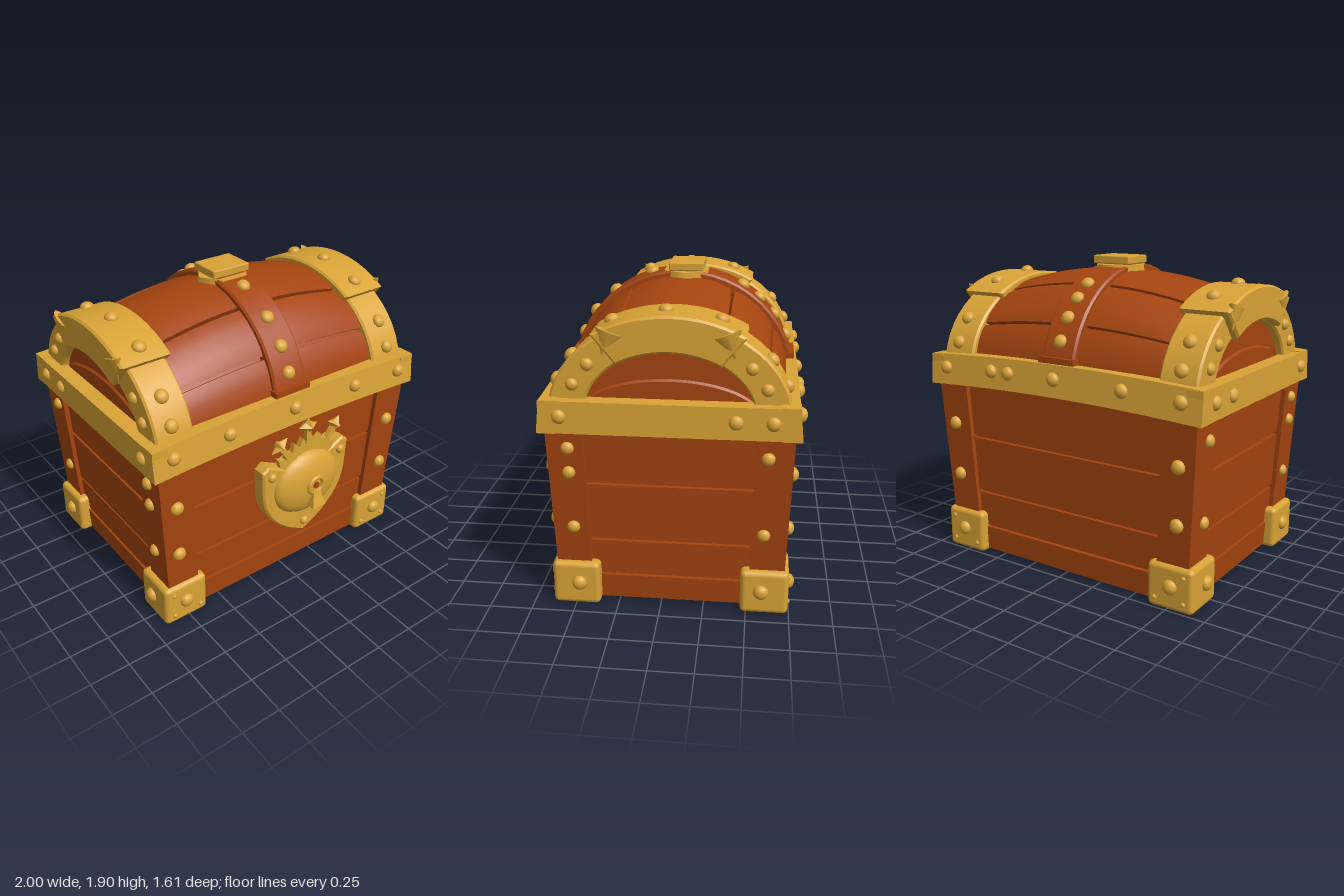
import * as THREE from 'three';
import { toCreasedNormals } from 'three/addons/utils/BufferGeometryUtils.js';
import { RoundedBoxGeometry } from 'three/addons/geometries/RoundedBoxGeometry.js';

const wood = new THREE.MeshStandardMaterial({ color: 0xa5440f });
wood.name = 'wood';
const gold = new THREE.MeshStandardMaterial({ color: 0xd9a336 });
gold.name = 'gold';

const CZ = -0.055; // middle of the chest in z
const CY = 1.2;    // springing height of the lid

export function createModel() {
  const root = new THREE.Group();
  root.name = 'treasureChest';

  const add = (name, geo, mat, x = 0, y = 0, z = 0, parent = root) => {
    const m = new THREE.Mesh(geo, mat);
    m.name = name;
    m.position.set(x, y, z);
    parent.add(m);
    return m;
  };
  const group = (name) => {
    const g = new THREE.Group();
    g.name = name;
    root.add(g);
    return g;
  };
  // moves the vertices of a geometry by a rule
  const warp = (geo, rule) => {
    const p = geo.attributes.position, v = new THREE.Vector3();
    for (let i = 0; i < p.count; i++) {
      v.fromBufferAttribute(p, i);
      rule(v);
      p.setXYZ(i, v.x, v.y, v.z);
    }
    geo.computeVertexNormals();
    return geo;
  };
  // box narrowing towards the floor, like the chest body
  const tapered = (w, y0, y1, d, x = 0, z = 0) =>
    warp(new THREE.BoxGeometry(w, y1 - y0, d).translate(x, (y0 + y1) / 2, z), (v) => {
      const k = 1 - v.y / 1.12;
      v.x *= 1 - 0.07 * k;
      v.z = CZ + v.z * (1 - 0.05 * k);
    });
  // elliptical band running over the lid from angle t0 to t1
  const arcBand = (a0, h0, a1, h1, t0, t1, xa, xb) => {
    const pts = [], n = 24;
    for (let i = 0; i <= n; i++) {
      const t = t0 + (t1 - t0) * i / n;
      pts.push(new THREE.Vector2(-a1 * Math.cos(t), h1 * Math.sin(t)));
    }
    for (let i = n; i >= 0; i--) {
      const t = t0 + (t1 - t0) * i / n;
      pts.push(new THREE.Vector2(-a0 * Math.cos(t), h0 * Math.sin(t)));
    }
    const b = 0.012;
    const geo = new THREE.ExtrudeGeometry(new THREE.Shape(pts), {
      depth: xb - xa - 2 * b, bevelThickness: b, bevelSize: b, bevelOffset: -b, bevelSegments: 1,
    });
    geo.rotateY(Math.PI / 2).translate(xa + b, CY, CZ);
    return toCreasedNormals(geo, 0.5);
  };
  const studs = group('studs');
  const stud = (x, y, z, nx, ny, nz, r = 0.042) => {
    const m = add('stud', new THREE.SphereGeometry(r, 12, 8), gold, x, y, z, studs);
    m.scale.z = 0.8;
    m.quaternion.setFromUnitVectors(new THREE.Vector3(0, 0, 1), new THREE.Vector3(nx, ny, nz).normalize());
  };
  const arcStud = (x, t, a, h) =>
    stud(x, CY + h * Math.sin(t), CZ + a * Math.cos(t), 0, Math.sin(t) / h, Math.cos(t) / a);
  const rad = THREE.MathUtils.degToRad;

  // body: core, horizontal planks and corner posts
  const body = group('body');
  add('bodyCore', tapered(1.75, 0.02, 1.24, 1.27), wood, 0, 0, 0, body);
  [[0.02, 0.17, 0.02], [0.18, 0.40, 0], [0.42, 0.765, 0.005], [0.785, 1.12, 0]].forEach(([y0, y1, o]) =>
    add('bodyPlank', tapered(1.80 + o, y0, y1, 1.32 + o), wood, 0, 0, 0, body));
  for (const sx of [1, -1]) {
    for (const sz of [1, -1]) {
      add('cornerPost', tapered(0.22, 0.03, 1.12, 0.21, sx * 0.82, sz * 0.585), wood, 0, 0, 0, body);
      add('cornerBracket', new RoundedBoxGeometry(0.295, 0.27, 0.28, 2, 0.03), gold,
        sx * 0.772, 0.135, CZ + sz * 0.55, body);
      // bracket studs with small rivets around them
      const zf = CZ + sz * 0.69;
      stud(sx * 0.775, 0.145, zf, 0, 0, sz, 0.045);
      stud(sx * 0.92, 0.145, CZ + sz * 0.53, sx, 0, 0, 0.045);
      for (const [x, y] of [[0.675, 0.06], [0.86, 0.06], [0.86, 0.215]]) stud(sx * x, y, zf, 0, 0, sz, 0.015);
      // post studs
      for (const y of [0.51, 0.85]) stud(sx * (0.79 + 0.03 * y), y, CZ + sz * (0.66 + 0.03 * y), 0, 0, sz);
    }
    for (const [y, z] of [[1.0, 0.51], [0.85, 0.51], [0.5, 0.5], [0.98, -0.6], [0.5, -0.59]])
      stud(sx * (0.865 + 0.06 * y), y, z, sx, 0, 0, 0.038);
  }

  // rim, arched slightly upwards along front and back
  const rim = group('rim');
  for (const sz of [1, -1]) {
    add('rimLong', warp(new THREE.BoxGeometry(1.94, 0.19, 0.1, 12, 1, 1), (v) => {
      v.y += 0.03 * (1 - (v.x / 0.97) ** 2);
      v.z += 0.01 * sz * (v.y < 0 ? 1 : -1);
    }), gold, 0, 1.195, CZ + sz * 0.665, rim);
    for (const x of [-0.84, -0.47, 0, 0.47, 0.84])
      stud(x, 1.235 - 0.03 * x * x, CZ + sz * 0.715, 0, 0, sz);
    add('rimShort', new THREE.BoxGeometry(0.1, 0.185, 1.42), gold, sz * 0.92, 1.195, CZ, rim);
    for (const z of [0.54, -0.42, -0.62]) stud(sz * 0.965, 1.2, z, sz, 0, 0);
  }
  stud(0.34, 1.23, CZ - 0.715, 0, 0, -1);

  // lid: core with end walls, then planks bulging in the middle
  const lid = group('lid');
  add('lidCore', arcBand(0, 0, 0.61, 0.45, 0, Math.PI, -0.86, 0.86), wood, 0, 0, 0, lid);
  for (const s of [1, -1])
    add('endPlank', arcBand(0, 0, 0.5, 0.2, 0, Math.PI, s > 0 ? 0.855 : -0.875, s > 0 ? 0.875 : -0.855), wood, 0, 0, 0, lid);
  const profile = []; // pairs of angle and inset, dipping between planks
  const seams = [0, 32, 62, 118, 148, 180];
  for (let i = 0; i < 5; i++) {
    const a = seams[i] + 1, b = seams[i + 1] - 1;
    profile.push([a, 0.045]);
    for (let j = 0; j <= 6; j++) profile.push([a + (b - a) * j / 6, j % 6 ? 0 : 0.006]);
    profile.push([b, 0.045]);
  }
  const NX = 16, NP = profile.length, pos = [], idx = [];
  for (let i = 0; i <= NX; i++) {
    const x = -0.86 + 1.72 * i / NX;
    for (const [deg, inset] of profile) {
      const t = rad(deg);
      pos.push(x, CY + (0.62 - 0.2 * x * x - inset) * Math.sin(t),
        CZ + (0.655 - 0.04 * x * x - inset) * Math.cos(t));
    }
  }
  for (let i = 0; i < NX; i++) for (let j = 0; j < NP - 1; j++) {
    const a = i * NP + j, b = a + NP;
    idx.push(a, b, b + 1, a, b + 1, a + 1);
  }
  const lidGeo = new THREE.BufferGeometry();
  lidGeo.setAttribute('position', new THREE.Float32BufferAttribute(pos, 3));
  lidGeo.setIndex(idx);
  add('lidPlanks', toCreasedNormals(lidGeo, 0.5), wood, 0, 0, 0, lid);

  // gold arches at both ends with a thicker cap over the top
  for (const s of [1, -1]) {
    const span = (a, b) => (s > 0 ? [a, b] : [-b, -a]);
    add('endArch', arcBand(0.47, 0.36, 0.67, 0.535, 0, Math.PI, ...span(0.67, 0.91)), gold, 0, 0, 0, lid);
    add('archCap', arcBand(0.48, 0.365, 0.705, 0.565, rad(54), rad(126), ...span(0.64, 0.955)), gold, 0, 0, 0, lid);
    for (const deg of [18, 35, 145, 162]) arcStud(s * 0.8, rad(deg), 0.67, 0.535);
    for (const deg of [63, 88, 113]) arcStud(s * 0.79, rad(deg), 0.705, 0.565);
    for (const deg of [22, 39, 141, 158])
      stud(s * 0.91, CY + 0.45 * Math.sin(rad(deg)), CZ + 0.57 * Math.cos(rad(deg)), s, 0, 0, 0.036);
    for (const z of [0.33, -0.33]) { // pointed folds on the cap's outer face
      const fold = add('capFold', new THREE.ConeGeometry(0.08, 0.14, 8), gold, s * 0.945, 1.61, CZ + z, lid);
      fold.rotation.x = Math.PI - Math.sign(z) * 0.35;
      fold.scale.x = 0.35;
    }
  }

  // middle strap with its feet and top plate
  add('strap', arcBand(0.6, 0.57, 0.685, 0.65, 0, Math.PI, -0.115, 0.115), wood, 0, 0, 0, lid);
  for (const s of [1, -1]) add('strapFoot', new THREE.BoxGeometry(0.25, 0.04, 0.08), wood, 0, 1.335, CZ + s * 0.65, lid);
  for (const deg of [21, 35, 51, 73, 122, 133, 145, 158]) arcStud(0, rad(deg), 0.685, 0.65);
  add('topPlate', new RoundedBoxGeometry(0.26, 0.05, 0.21, 1, 0.008), gold, 0, 1.875, -0.075, lid);
  const hex = add('plateBase', new THREE.CylinderGeometry(0.17, 0.18, 0.06, 6).rotateY(Math.PI / 2), gold, 0, 1.815, -0.07, lid);
  hex.scale.z = 0.9;

  // lock: shield, dome, keyhole and crown, set a little to the left
  const lock = group('lock');
  lock.position.set(0.093, 0, 0);
  const shield = new THREE.Shape();
  shield.moveTo(0, 0.31);
  shield.bezierCurveTo(0.16, 0.38, 0.3, 0.5, 0.315, 0.68);
  shield.lineTo(0.325, 0.86);
  shield.lineTo(0.29, 0.885);
  shield.lineTo(0.18, 0.83);
  shield.quadraticCurveTo(0, 0.97, -0.18, 0.83);
  shield.lineTo(-0.29, 0.885);
  shield.lineTo(-0.325, 0.86);
  shield.lineTo(-0.315, 0.68);
  shield.bezierCurveTo(-0.3, 0.5, -0.16, 0.38, 0, 0.31);
  const bevel = { bevelThickness: 0.012, bevelSize: 0.012, bevelSegments: 1 };
  add('shieldPlate', new THREE.ExtrudeGeometry(shield, { depth: 0.085, ...bevel }), gold, 0, 0, 0.585, lock);
  const dome = add('shieldDome', new THREE.SphereGeometry(1, 28, 16), gold, 0, 0.685, 0.675, lock);
  dome.scale.set(0.25, 0.215, 0.085);
  add('keyholeRing', new THREE.TorusGeometry(0.055, 0.016, 8, 20), gold, 0.018, 0.69, 0.758, lock);
  add('keyhole', new THREE.CylinderGeometry(0.022, 0.022, 0.008, 12).rotateX(Math.PI / 2), wood, 0.018, 0.69, 0.762, lock);
  add('keyholeWedge', warp(new THREE.BoxGeometry(0.1, 0.11, 0.08), (v) => {
    if (v.y > 0) { v.x *= 0.45; if (v.z > 0) v.z = 0.005; }
  }), gold, 0.018, 0.605, 0.762, lock);
  for (const [x, y] of [[-0.27, 0.82], [0.27, 0.82], [0, 0.38]]) stud(0.093 + x, y, 0.685, 0, 0, 1, 0.03);

  const crown = new THREE.Shape();
  const polar = (r, deg) => [r * Math.cos(rad(deg)), r * Math.sin(rad(deg))];
  crown.moveTo(...polar(0.18, 38));
  for (let i = 0; i <= 16; i++) crown.lineTo(...polar(i % 2 ? 0.31 : 0.26, 38 + 6.5 * i));
  for (let i = 8; i >= 0; i--) crown.lineTo(...polar(0.18, 38 + 13 * i));
  add('crownBand', new THREE.ExtrudeGeometry(crown, { depth: 0.035, bevelEnabled: false }), gold, 0, 0.7, 0.645, lock);
  for (const deg of [56, 90, 124]) {
    const [x, y] = polar(0.385, deg);
    const cross = new THREE.Group();
    cross.name = 'crownCross';
    cross.position.set(x, 0.7 + y, 0.675);
    cross.rotation.z = rad(deg - 90);
    lock.add(cross);
    add('crossStem', new THREE.BoxGeometry(0.035, 0.11, 0.03), gold, 0, -0.065, 0, cross);
    for (const [w, h] of [[0.07, 0.032], [0.032, 0.06]])
      add('crossArm', new THREE.OctahedronGeometry(1), gold, 0, 0, 0, cross).scale.set(w, h, 0.045);
  }
  return root;
}
